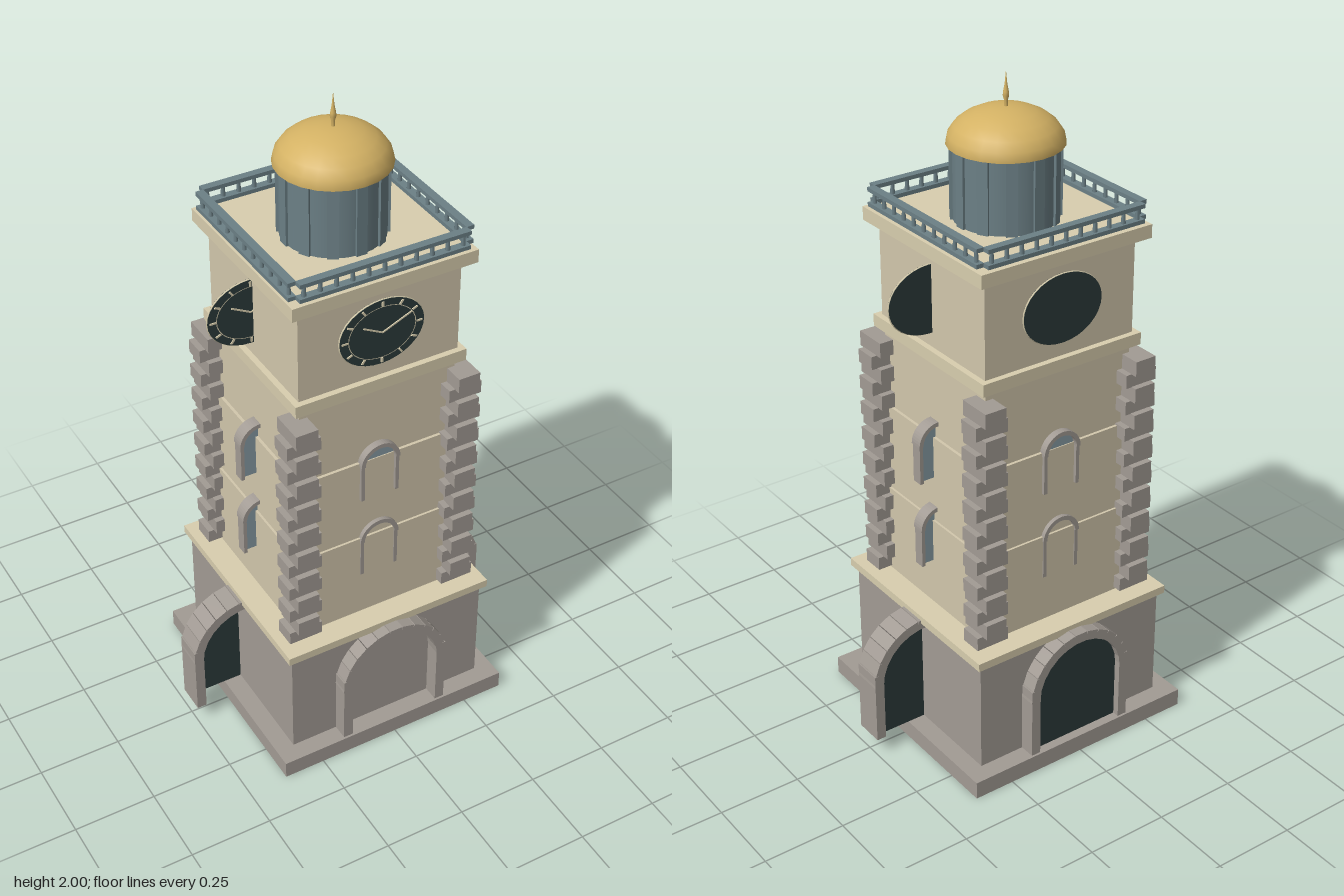
import * as THREE from 'three';

const mat = (name, color, side = THREE.FrontSide) => {
  const m = new THREE.MeshStandardMaterial({ color, side });
  m.name = name;
  return m;
};

export function createModel() {
  const wall = mat('cream wall', 0xd2c7ac);
  const trim = mat('pale trim', 0xd8ceae);
  const stone = mat('grey stone', 0xa29b94);
  const dark = mat('dark recess', 0x2c3a3a);
  const metal = mat('slate metal', 0x6c8086);
  const glass = mat('window glass', 0x879ba3);
  const gold = mat('gold', 0xd4b264);

  const model = new THREE.Group();
  model.name = 'clockTower';

  const add = (parent, name, geo, material, x = 0, y = 0, z = 0) => {
    const m = new THREE.Mesh(geo, material);
    m.name = name;
    m.position.set(x, y, z);
    parent.add(m);
    return m;
  };
  const box = (parent, name, material, w, h, d, x, y, z) =>
    add(parent, name, new THREE.BoxGeometry(w, h, d), material, x, y, z);
  // square storey from its half width and its bottom and top heights
  const slab = (name, material, half, y0, y1) =>
    box(model, name, material, half * 2, y1 - y0, half * 2, 0, (y0 + y1) / 2, 0);
  const group = (name, x, y, z) => {
    const g = new THREE.Group();
    g.name = name;
    g.position.set(x, y, z);
    model.add(g);
    return g;
  };
  // the four sides; fittings keep facing +z on each of them
  const sides = [['front', 0, 1], ['back', 0, -1], ['left', 1, 0], ['right', -1, 0]];

  // round-headed panel outline standing on y = 0
  const archShape = (r, spring) => {
    const s = new THREE.Shape();
    s.moveTo(-r, 0);
    s.lineTo(r, 0);
    s.lineTo(r, spring);
    s.absarc(0, spring, r, 0, Math.PI, false);
    s.lineTo(-r, 0);
    return s;
  };
  const extrude = (shape, depth, curveSegments = 12) =>
    new THREE.ExtrudeGeometry(shape, { depth, bevelEnabled: false, curveSegments });

  // stacked body
  slab('plinth', stone, 0.377, 0, 0.055);
  slab('base', stone, 0.321, 0.055, 0.405);
  slab('baseLedge', trim, 0.337, 0.405, 0.43);
  slab('lowerStorey', wall, 0.262, 0.43, 0.71);
  slab('middleStorey', wall, 0.255, 0.71, 0.98);
  slab('upperStorey', wall, 0.246, 0.98, 1.225);
  slab('lowerCornice', trim, 0.268, 1.225, 1.262);
  slab('clockStage', wall, 0.25, 1.262, 1.548);
  slab('upperCornice', trim, 0.282, 1.548, 1.588);

  // corner stones, alternating direction
  for (const sx of [-1, 1]) for (const sz of [-1, 1]) {
    const quoins = group('cornerStones', sx * 0.256, 0.437, sz * 0.256);
    for (let i = 0; i < 18; i++) {
      const [w, d] = i % 2 ? [0.068, 0.105] : [0.105, 0.068];
      box(quoins, 'cornerStone', stone, w, i % 2 ? 0.046 : 0.041, d, 0, 0.021 + i * 0.0422, 0);
    }
  }

  // arched doorways
  const spring = 0.185, count = 13;
  for (const [side, dx, dz] of sides) {
    const door = group(side + 'Doorway', dx * 0.325, 0.055, dz * 0.325);
    add(door, 'doorPanel', extrude(archShape(0.148, spring), 0.008), dark, 0, 0, -0.024);
    for (const s of [-1, 1]) box(door, 'jamb', stone, 0.03, 0.225, 0.09, s * 0.16, 0.1125, 0);
    for (let i = 0; i < count; i++) {
      const a = (i + 0.5) / count * Math.PI;
      const v = box(door, 'archStone', stone, 0.03, 0.04, 0.09,
        Math.cos(a) * 0.16, spring + Math.sin(a) * 0.16, 0);
      v.rotation.z = a;
    }
  }

  // arched windows, two levels
  for (const y of [0.575, 0.85]) for (const [side, dx, dz] of sides) {
    const win = group(side + 'Window', dx * 0.248, y, dz * 0.248);
    add(win, 'pane', extrude(archShape(0.053, 0.12), 0.008), glass, 0, 0, -0.004);
    for (const s of [-1, 1]) box(win, 'frameJamb', stone, 0.011, 0.13, 0.034, s * 0.0555, 0.065, 0);
    const head = new THREE.Shape();
    head.absarc(0, 0, 0.063, 0, Math.PI, false);
    head.absarc(0, 0, 0.05, Math.PI, 0, true);
    add(win, 'frameHead', extrude(head, 0.04), stone, 0, 0.12, -0.02);
  }

  // clocks: oval faces with markers and hands on their +z side
  for (const [side, dx, dz] of sides) {
    const clock = group(side + 'Clock', dx * 0.257, 1.408, dz * 0.257);
    clock.scale.set(1.28, 1, 1);
    const face = new THREE.CylinderGeometry(0.102, 0.102, 0.007, 32).rotateX(Math.PI / 2);
    add(clock, 'clockFace', face, dark);
    add(clock, 'clockRim', new THREE.TorusGeometry(0.101, 0.003, 6, 32), trim);
    add(clock, 'minuteRing', new THREE.RingGeometry(0.08, 0.082, 32), trim, 0, 0, 0.0045);
    for (let i = 0; i < 12; i++) {
      const a = i * Math.PI / 6;
      box(clock, 'hourMark', trim, 0.014, 0.005, 0.003,
        Math.cos(a) * 0.09, Math.sin(a) * 0.09, 0.005).rotation.z = a;
    }
    for (const [name, len, a] of [['hourHand', 0.055, 2.55], ['minuteHand', 0.08, 0.5]]) {
      box(clock, name, trim, len, 0.004, 0.003,
        Math.cos(a) * len / 2, Math.sin(a) * len / 2, 0.006).rotation.z = a;
    }
  }

  // balcony railing, open at the corners
  for (let k = 0; k < 4; k++) {
    const rail = group('railing', 0, 1.59, 0);
    rail.rotation.y = k * Math.PI / 2;
    box(rail, 'bottomRail', metal, 0.515, 0.012, 0.024, 0, 0.012, 0.268);
    box(rail, 'topRail', metal, 0.515, 0.012, 0.024, 0, 0.056, 0.268);
    for (let i = 0; i < 11; i++) {
      add(rail, 'baluster', new THREE.CylinderGeometry(0.005, 0.007, 0.036, 6), metal,
        -0.24 + i * 0.048, 0.034, 0.268);
    }
  }

  // lantern drum with ribs
  add(model, 'drum', new THREE.CylinderGeometry(0.148, 0.148, 0.215, 24), metal, 0, 1.695, 0);
  for (let i = 0; i < 12; i++) {
    const a = i * Math.PI / 6;
    box(model, 'drumRib', metal, 0.032, 0.215, 0.012,
      Math.sin(a) * 0.147, 1.695, Math.cos(a) * 0.147).rotation.y = a;
  }

  // flattened dome, closed underneath, and finial
  const dome = add(model, 'dome',
    new THREE.SphereGeometry(0.163, 24, 6, 0, Math.PI * 2, 0, Math.PI / 2), gold, 0, 1.8, 0);
  dome.scale.y = 0.62;
  add(model, 'domeUnderside', new THREE.CircleGeometry(0.163, 24).rotateX(Math.PI / 2), gold, 0, 1.8, 0);
  const profile = [[0.006, 0], [0.005, 0.02], [0.009, 0.035], [0.008, 0.045], [0.004, 0.065], [0, 0.105]];
  add(model, 'finial',
    new THREE.LatheGeometry(profile.map(([r, y]) => new THREE.Vector2(r, y)), 10), gold, 0, 1.895, 0);

  return model;
}
